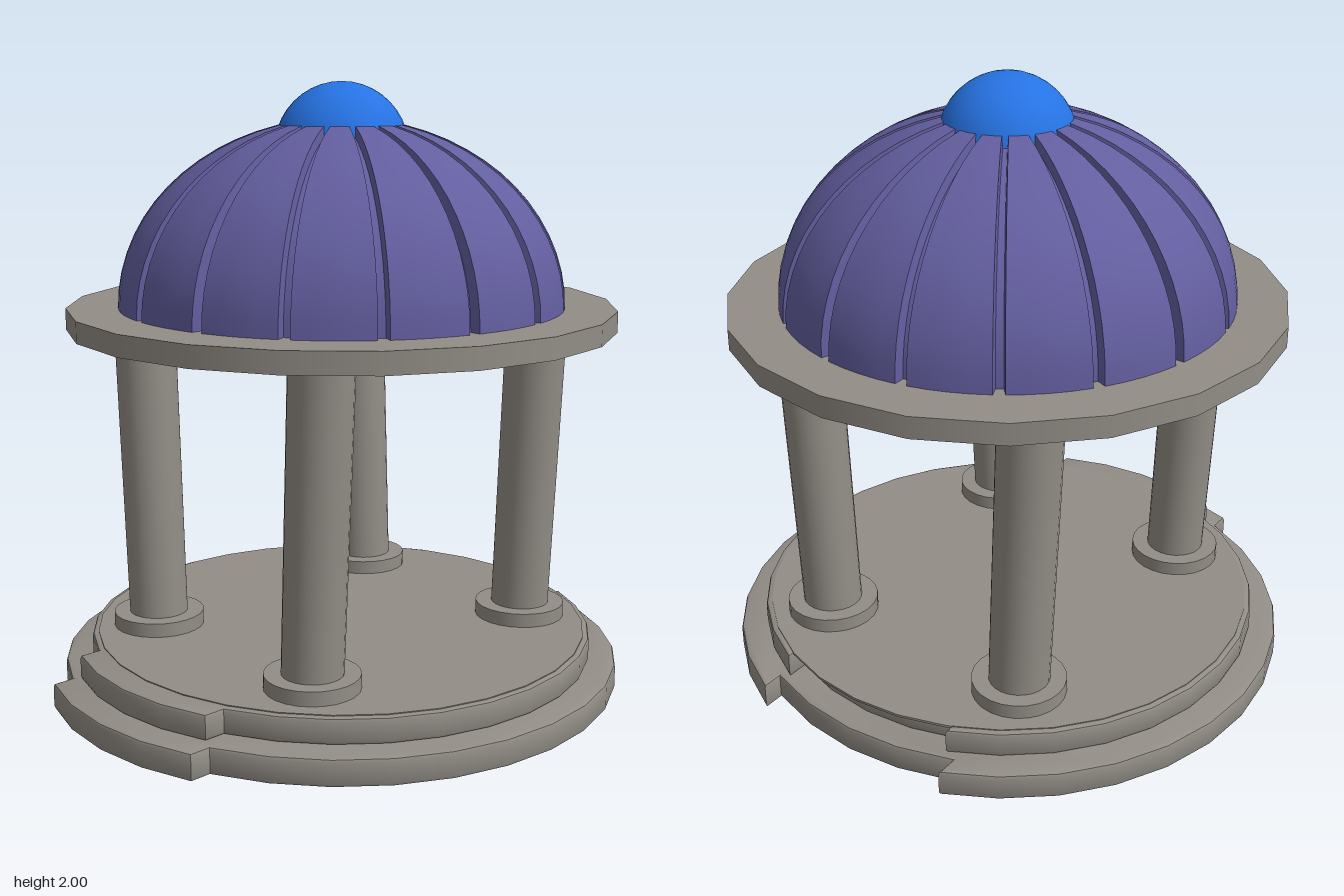
import * as THREE from 'three';
import { toCreasedNormals } from 'three/addons/utils/BufferGeometryUtils.js';

const CZ = -0.05; // shared axis of dome, roof and base

const stone = new THREE.MeshStandardMaterial({ color: 0x928d86, name: 'stone' });
const purple = new THREE.MeshStandardMaterial({ color: 0x635e9f, name: 'purple' });
const blue = new THREE.MeshStandardMaterial({ color: 0x2673e4, name: 'blue' });

function addMesh(parent, name, geometry, material, x = 0, y = 0, z = 0) {
  const mesh = new THREE.Mesh(geometry, material);
  mesh.name = name;
  mesh.position.set(x, y, z);
  parent.add(mesh);
  return mesh;
}

// Round step whose front and back sectors are both shifted forward
function tierGeometry(r, half, shift, height) {
  const t = Math.asin(half / r);
  const points = [];
  const arc = (from, to, steps, dz) => {
    for (let i = 0; i <= steps; i++) {
      const a = from + ((to - from) * i) / steps;
      points.push(new THREE.Vector2(r * Math.sin(a), -(r * Math.cos(a) + dz)));
    }
  };
  arc(-t, t, 4, shift);
  arc(t, Math.PI - t, 12, 0);
  arc(Math.PI - t, Math.PI + t, 4, shift);
  arc(Math.PI + t, 2 * Math.PI - t, 12, 0);
  const b = 0.012;
  const geo = new THREE.ExtrudeGeometry(new THREE.Shape(points), {
    depth: height - 2 * b, bevelEnabled: true, bevelSize: b,
    bevelThickness: b, bevelOffset: -b, bevelSegments: 2,
  });
  geo.translate(0, 0, b);
  geo.rotateX(-Math.PI / 2);
  return toCreasedNormals(geo, 0.6);
}

// Half-ellipsoid of sixteen panels separated by narrow grooves
function domeGeometry(radius, height) {
  const ribs = 16, rows = 14, panelSteps = 4;
  const half = Math.PI / ribs;
  const positions = [], index = [];
  let cols = 0;
  for (let i = 0; i <= rows; i++) {
    const t = (i / rows) * 1.38;
    const r = radius * Math.cos(t), y = height * Math.sin(t);
    const groove = (0.007 + 0.011 * Math.cos(t)) / r;
    cols = 0;
    const put = (a, k) => {
      positions.push(k * r * Math.sin(a), k * y, k * r * Math.cos(a));
      cols++;
    };
    for (let n = 0; n < ribs; n++) {
      const mid = n * 2 * half, edge = half - groove;
      put(mid - edge - groove * 0.3, 0.95);
      for (let j = 0; j <= panelSteps; j++) put(mid - edge + (2 * edge * j) / panelSteps, 1);
      put(mid + edge + groove * 0.3, 0.95);
    }
  }
  for (let i = 0; i < rows; i++) {
    for (let j = 0; j < cols; j++) {
      const a = i * cols + j, b = i * cols + ((j + 1) % cols);
      index.push(a, b, b + cols, a, b + cols, a + cols);
    }
  }
  const geo = new THREE.BufferGeometry();
  geo.setAttribute('position', new THREE.Float32BufferAttribute(positions, 3));
  geo.setIndex(index);
  return toCreasedNormals(geo, 0.6);
}

export function createModel() {
  const model = new THREE.Group();
  model.name = 'pavilion';

  // Stepped base with a thin floor overhanging the recessed back
  addMesh(model, 'lowerStep', tierGeometry(0.94, 0.36, 0.07, 0.09), stone, 0, 0, CZ);
  addMesh(model, 'upperStep', tierGeometry(0.85, 0.325, 0.07, 0.085), stone, 0, 0.09, CZ);
  addMesh(model, 'floor', new THREE.CylinderGeometry(0.83, 0.83, 0.008, 32), stone, 0, 0.174, CZ);

  // Four columns leaning outwards to the sides
  const height = 1.02, lean = 0.045;
  for (const side of [-1, 1]) {
    for (const end of [-1, 1]) {
      const z = CZ + end * 0.488;
      const column = addMesh(model, 'column',
        new THREE.CylinderGeometry(0.102, 0.098, height, 24), stone,
        side * (0.39 + lean / 2), 0.2 + height / 2, z);
      column.rotation.z = -side * Math.atan(lean / height);
      addMesh(model, 'columnFoot', new THREE.CylinderGeometry(0.152, 0.152, 0.05, 24),
        stone, side * 0.39, 0.2, z);
    }
  }

  // Roof slab, ribbed dome and round finial
  addMesh(model, 'roofSlab', new THREE.CylinderGeometry(0.905, 0.905, 0.07, 20), stone, 0, 1.24, CZ);
  addMesh(model, 'dome', domeGeometry(0.735, 0.61), purple, 0, 1.275, CZ);
  addMesh(model, 'finial', new THREE.SphereGeometry(0.22, 32, 20), blue, 0, 1.78, CZ);

  return model;
}
